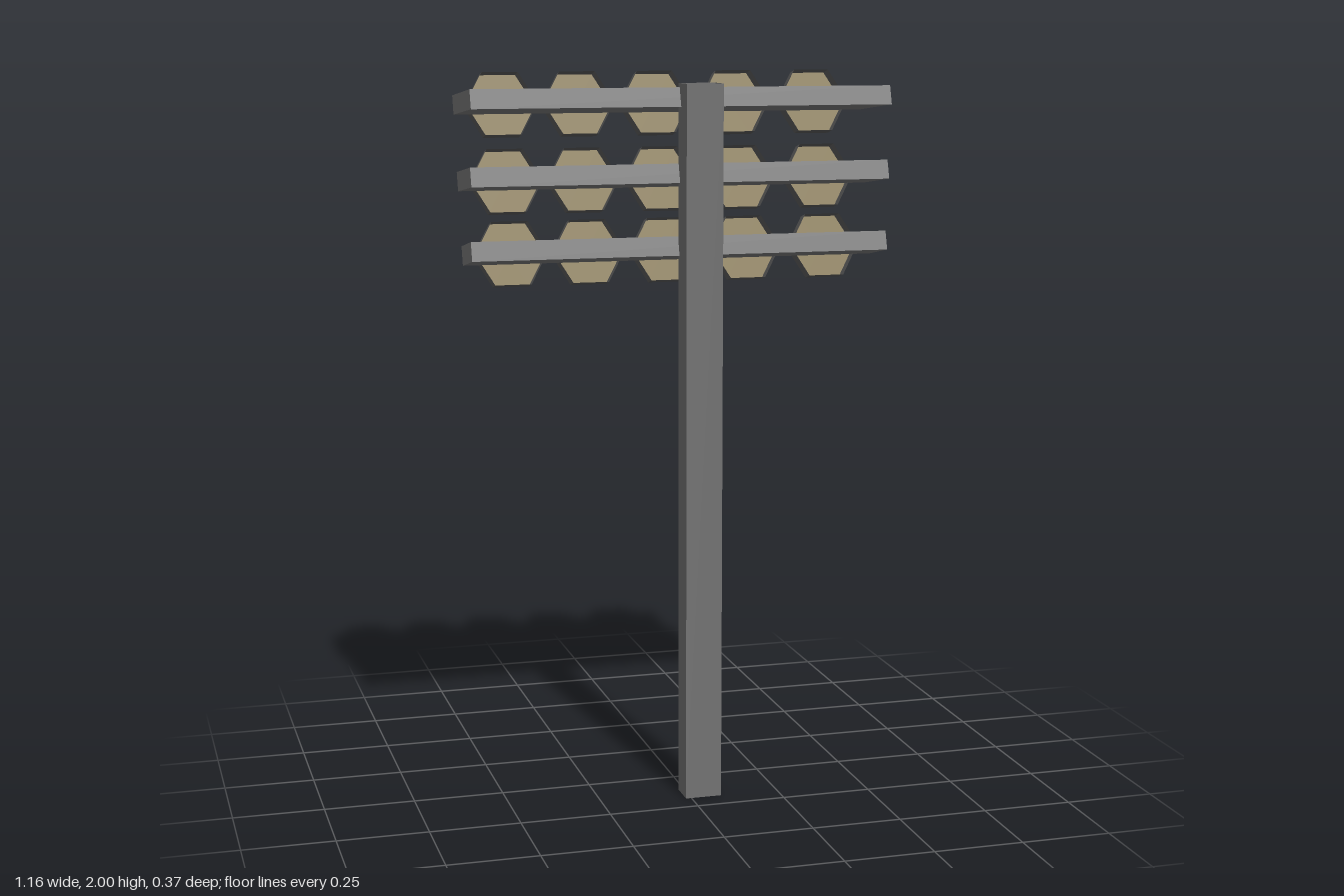
import * as THREE from 'three';

const paint = (color) => new THREE.MeshStandardMaterial({ color, flatShading: true, side: THREE.DoubleSide });
const postGrey = paint(0x727272);
const shelfGrey = paint(0x777777);
const rimGrey = paint(0x5a5a5a);
const tan = paint(0x8d7f5a);

const TILT = 0.26; // lamps lean so that their faces look down and back
const LAMP_R = 0.1, LAMP_DEPTH = 0.038;

function add(parent, name, geometry, material, x, y, z) {
  const mesh = new THREE.Mesh(geometry, material);
  mesh.name = name;
  mesh.position.set(x, y, z);
  parent.add(mesh);
}

// Square post, open at the top
function postGeometry(w, h, d) {
  const g = new THREE.BoxGeometry(w, h, d);
  const top = g.groups[2];
  g.setIndex([...g.index.array].filter((_, i) => i < top.start || i >= top.start + top.count));
  g.clearGroups();
  return g;
}

// Plank sheared so it slopes down to the back and its ends lean with the lamps
function shelfGeometry(width, thick, depth) {
  const g = new THREE.BoxGeometry(width, thick, depth);
  const p = g.attributes.position;
  for (let i = 0; i < p.count; i++) {
    const y = p.getY(i), z = p.getZ(i);
    p.setY(i, y + (z / depth) * 0.025);
    p.setZ(i, z - y * 0.31);
  }
  g.computeVertexNormals();
  return g;
}

// Hexagonal cup: rim walls open to the front, closed by a lens at the back
const rimGeo = new THREE.CylinderGeometry(LAMP_R, LAMP_R, LAMP_DEPTH, 6, 1, true)
  .rotateY(Math.PI / 2).rotateX(Math.PI / 2);
const lensGeo = new THREE.CircleGeometry(LAMP_R, 6).rotateY(Math.PI);

function lamp(name, x, y, z) {
  const g = new THREE.Group();
  g.name = name;
  add(g, 'rim', rimGeo, rimGrey, 0, 0, 0);
  add(g, 'lens', lensGeo, tan, 0, 0, -LAMP_DEPTH / 2);
  g.rotation.x = -TILT;
  g.position.set(x, y, z);
  return g;
}

export function createModel() {
  const model = new THREE.Group();
  model.name = 'floodlightMast';

  add(model, 'post', postGeometry(0.102, 1.975, 0.079), postGrey, 0.035, 0.9875, 0.1455);

  const columns = [-0.451, -0.235, -0.015, 0.211, 0.441];
  const rows = [
    { shelfY: 1.926, front: 0.124, back: -0.132, lampY: 1.912, lampZ: -0.142 },
    { shelfY: 1.723, front: 0.114, back: -0.083, lampY: 1.707, lampZ: -0.087 },
    { shelfY: 1.527, front: 0.108, back: -0.03, lampY: 1.515, lampZ: -0.034 },
  ];

  rows.forEach((r, i) => {
    const row = new THREE.Group();
    row.name = `lampRow${i + 1}`;
    add(row, 'shelf', shelfGeometry(1.165, 0.051, r.front - r.back), shelfGrey,
      -0.001, r.shelfY, (r.front + r.back) / 2);
    // The two lamps on the left sit slightly further forward
    columns.forEach((x, c) => row.add(
      lamp(`lamp${c + 1}`, x, r.lampY, r.lampZ + (c > 2 ? 0.006 : 0))));
    model.add(row);
  });
  return model;
}
